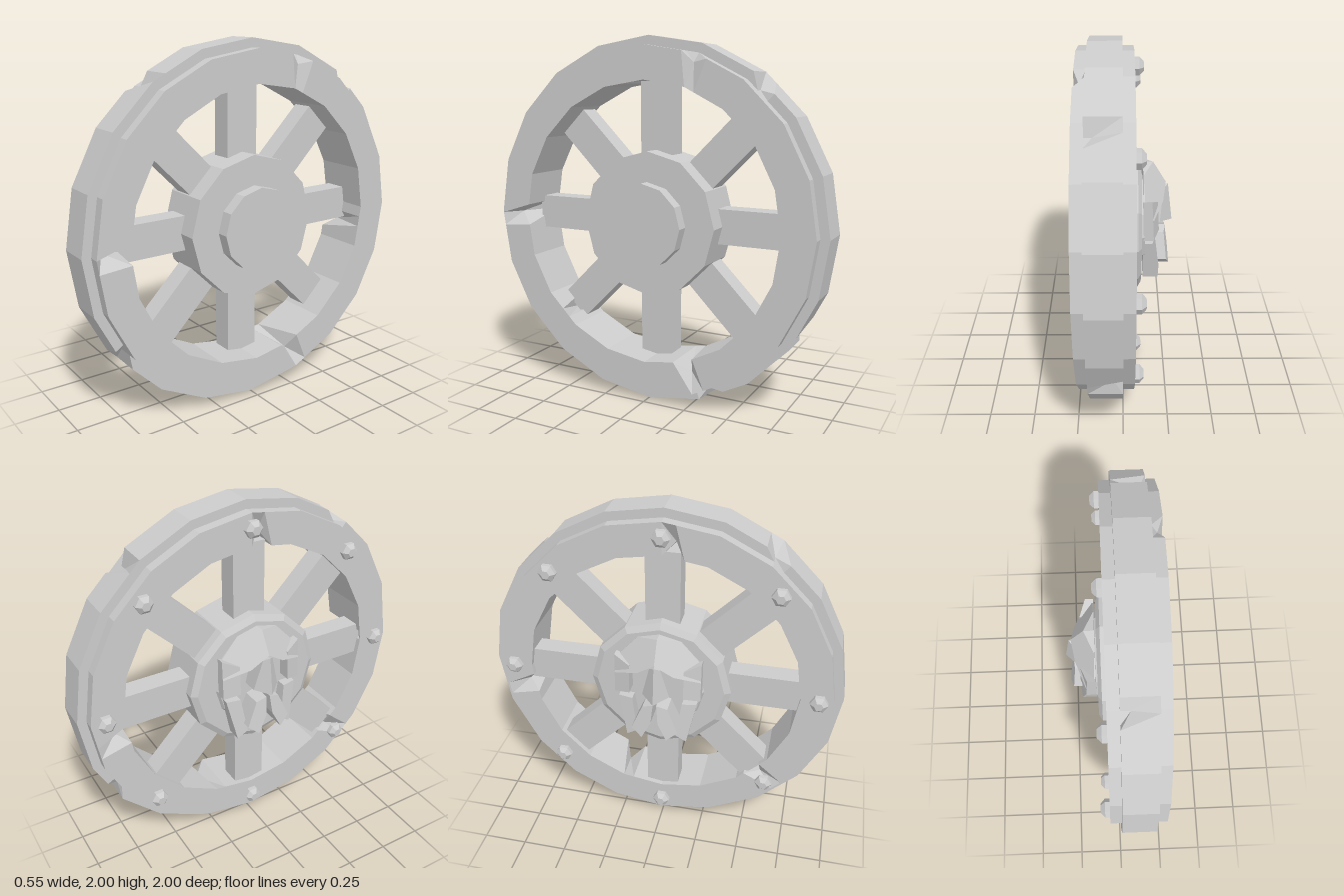
import * as THREE from 'three';

const mat = new THREE.MeshStandardMaterial({ color: 0xcccccc, flatShading: true, side: THREE.DoubleSide });

function add(parent, name, geo) {
  const m = new THREE.Mesh(geo, mat);
  m.name = name;
  parent.add(m);
  return m;
}

// Faceted disc along x from x0 to x1, radius r0 at x0 and r1 at x1
function disc(x0, x1, r0, r1, sides) {
  return new THREE.CylinderGeometry(r1, r0, x1 - x0, sides).rotateZ(-Math.PI / 2).translate((x0 + x1) / 2, 0, 0);
}

// Stepped 20-sided rim; each side is subdivided so that single points can be chipped
function rimGeometry() {
  const profile = [[0.24, 0.77], [0.24, 0.95], [0.18, 0.95], [0.18, 1], [0, 1], [0, 0.95], [-0.06, 0.95], [-0.06, 0.77]];
  // section, profile point, shift in x, shift in radius
  const chips = [
    [20, 0, -0.1, 0.11], [44, 0, -0.07, 0.07], [76, 1, -0.03, -0.05],
    [28, 3, -0.09, -0.05], [71, 3, -0.04, -0.05], [45, 3, -0.04, -0.05],
    [8, 4, 0.05, -0.05], [53, 4, 0.05, -0.04],
    [1, 7, 0.06, 0.07], [30, 7, 0.06, 0.07], [58, 7, 0.06, 0.06],
  ];
  const sub = 4, count = 20 * sub, n = profile.length, pos = [], idx = [];
  for (let s = 0; s < count; s++) {
    const a = Math.floor(s / sub) * Math.PI / 10, b = a + Math.PI / 10, t = (s % sub) / sub;
    const cy = Math.cos(a) * (1 - t) + Math.cos(b) * t;
    const cz = Math.sin(a) * (1 - t) + Math.sin(b) * t;
    profile.forEach(([x, r], p) => {
      const chip = chips.find(c => c[0] === s && c[1] === p) || [0, 0, 0, 0];
      pos.push(x + chip[2], (r + chip[3]) * cy, (r + chip[3]) * cz);
      const q = (p + 1) % n, A = s * n + p, B = s * n + q, next = ((s + 1) % count) * n;
      idx.push(A, B, next + q, A, next + q, next + p);
    });
  }
  const g = new THREE.BufferGeometry();
  g.setAttribute('position', new THREE.Float32BufferAttribute(pos, 3));
  g.setIndex(idx);
  const flat = g.toNonIndexed();
  flat.computeVertexNormals();
  return flat;
}

// Carved plate: outline in (z, y), front face sloping with |z| and y
function plate(points, side, front, slope, tilt) {
  const shape = new THREE.Shape(points.map(([z, y]) => new THREE.Vector2(z * side, y)));
  const g = new THREE.ExtrudeGeometry(shape, { depth: 1, bevelEnabled: false });
  const p = g.attributes.position;
  for (let i = 0; i < p.count; i++) {
    const z = p.getX(i), y = p.getY(i);
    const x = p.getZ(i) > 0.5 ? front + slope * Math.abs(z) + tilt * y : -0.11;
    p.setXYZ(i, x, y, z);
  }
  g.computeVertexNormals();
  return g;
}

export function createModel() {
  const model = new THREE.Group();
  model.name = 'wheel';
  const wheel = new THREE.Group();
  wheel.name = 'wheelBody';
  wheel.position.y = 1;
  model.add(wheel);

  add(wheel, 'rim', rimGeometry());

  // Hub with bevelled outer face, axle cap and emblem backing
  add(wheel, 'hub', disc(-0.08, 0.2, 0.395, 0.395, 12));
  add(wheel, 'hubBevel', disc(-0.1, -0.08, 0.36, 0.395, 12));
  add(wheel, 'axleCap', disc(0.2, 0.27, 0.23, 0.23, 12));
  add(wheel, 'emblemBacking', disc(-0.12, -0.1, 0.24, 0.25, 12));

  // Eight spokes and eight studs
  for (let i = 0; i < 8; i++) {
    const a = i * Math.PI / 4;
    const spoke = add(wheel, 'spoke', new THREE.BoxGeometry(0.12, 0.5, 0.19).translate(0.03, 0.53, 0));
    spoke.rotation.x = a;

    const stud = new THREE.Group();
    stud.name = 'stud';
    stud.position.set(0, 0.87 * Math.cos(a), 0.87 * Math.sin(a));
    add(stud, 'studBase', disc(-0.085, -0.06, 0.05, 0.05, 6));
    add(stud, 'studTip', disc(-0.108, -0.085, 0.025, 0.05, 6));
    wheel.add(stud);
  }

  // Carved mask on the outer hub face, heights relative to the axle
  const mask = new THREE.Group();
  mask.name = 'mask';
  wheel.add(mask);
  for (const side of [1, -1]) {
    add(mask, 'brow', plate([[0, 0.34], [0.12, 0.31], [0.22, 0.2], [0.24, 0.1], [0.1, 0.15], [0, 0.22]], side, -0.37, 0.6, 0.6));
    add(mask, 'cheek', plate([[0.24, 0.21], [0.24, -0.02], [0.15, 0], [0.15, 0.17]], side, -0.25, 0.35, 0.05));
    add(mask, 'nose', plate([[0, 0.21], [0.03, 0.19], [0.075, 0.01], [0, -0.01]], side, -0.275, 0.9, 0.12));
    add(mask, 'moustache', plate([[0.01, -0.04], [0.07, -0.06], [0.13, -0.2], [0.07, -0.25], [0.02, -0.15]], side, -0.23, 0.15, 0.16));
    add(mask, 'jaw', plate([[0.14, -0.05], [0.22, -0.05], [0.17, -0.29], [0.11, -0.25]], side, -0.2, 0.2, 0.1));
  }
  return model;
}
